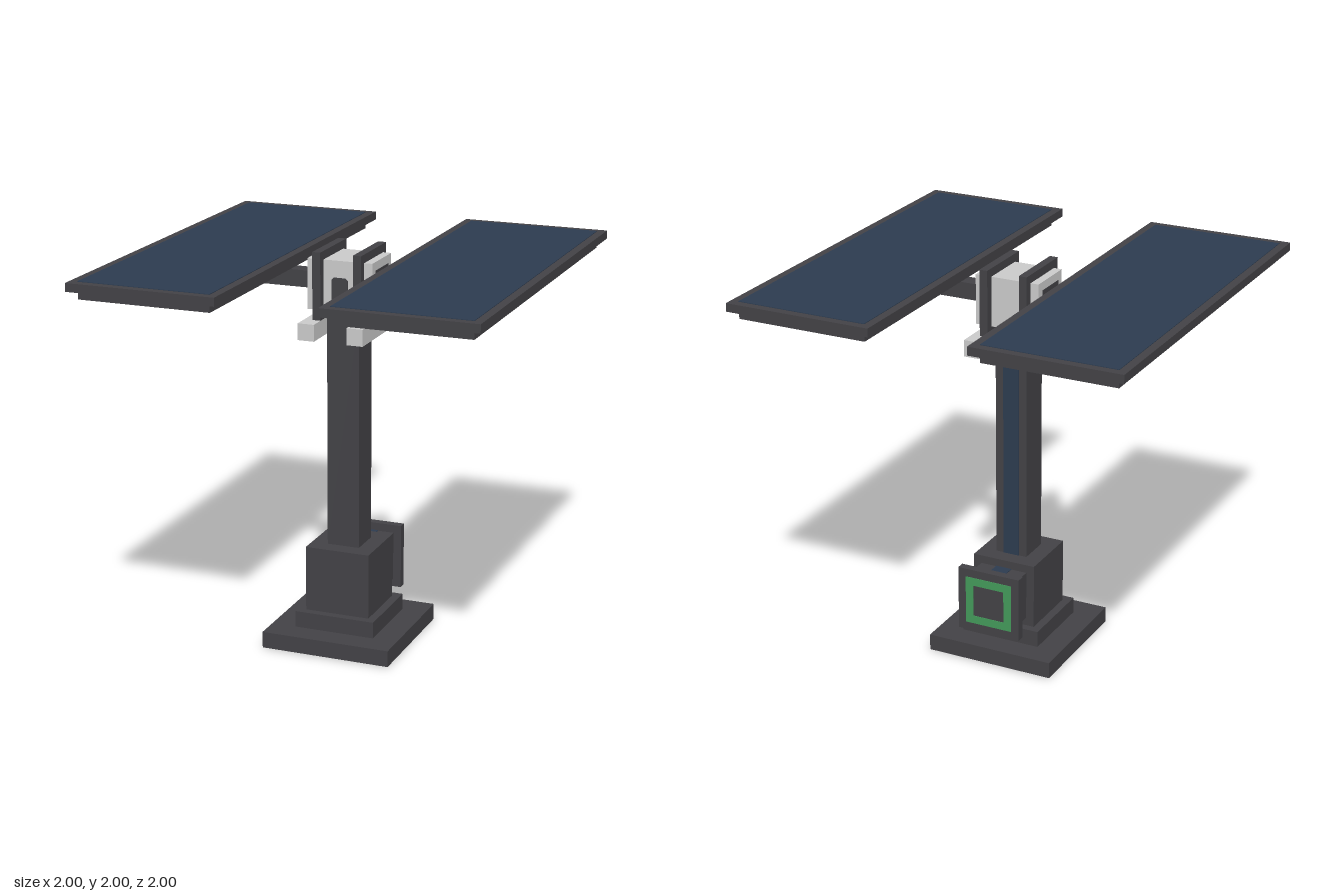
import * as THREE from 'three';

const U = 1 / 24; // modelling grid step
const T = 0.003;  // thickness of painted plates

const mat = (name, color) => {
  const m = new THREE.MeshStandardMaterial({ color });
  m.name = name;
  return m;
};

export function createModel() {
  const dark = mat('dark metal', 0x434246);
  const light = mat('light metal', 0xcbcbcb);
  const blue = mat('solar blue', 0x2d3c50);
  const green = mat('port green', 0x449a5a);

  const root = new THREE.Group();
  root.name = 'solarTracker';

  // Box from min and max corners in grid steps
  const box = (parent, name, m, [x0, y0, z0], [x1, y1, z1]) => {
    const g = new THREE.BoxGeometry((x1 - x0) * U, (y1 - y0) * U, (z1 - z0) * U);
    const mesh = new THREE.Mesh(g, m);
    mesh.name = name;
    mesh.position.set((x0 + x1) / 2 * U, (y0 + y1) / 2 * U, (z0 + z1) / 2 * U);
    parent.add(mesh);
    return mesh;
  };

  // Square outline with cut corners
  const trace = (path, r, c) => {
    const pts = [[r, -r + c], [r, r - c], [r - c, r], [-r + c, r],
      [-r, r - c], [-r, -r + c], [-r + c, -r], [r - c, -r]];
    path.setFromPoints(pts.map(([x, y]) => new THREE.Vector2(x * U, y * U)));
    return path;
  };
  const ring = (name, cut) => {
    const s = trace(new THREE.Shape(), 3, cut);
    s.holes.push(trace(new THREE.Path(), 2, cut));
    const mesh = new THREE.Mesh(
      new THREE.ExtrudeGeometry(s, { depth: T, bevelEnabled: false }), green);
    mesh.name = name;
    root.add(mesh);
    return mesh;
  };
  const t = T / U;

  // Stepped base and column
  box(root, 'basePlate', dark, [-8, 0, -8], [8, 2, 8]);
  box(root, 'baseStep', dark, [-5, 2, -5], [5, 4, 5]);
  box(root, 'baseBlock', dark, [-4, 4, -4], [4, 12, 4]);
  box(root, 'column', dark, [-2, 12, -2], [2, 41, 2]);
  box(root, 'columnStripe', blue, [-1, 12, -2 - t], [1, 41, -2]);

  // Rear connector
  box(root, 'connectorNeck', dark, [-3, 5, -7], [3, 11, -4]);
  box(root, 'connectorStripe', blue, [-1, 11, -7], [1, 11 + t, -4]);
  box(root, 'connectorPlate', dark, [-4, 4, -8], [4, 12, -7]);

  // Green port outlines on the connector and under the base
  const rear = ring('connectorPort', 0.01);
  rear.position.set(0, 8 * U, -8 * U - T);
  const under = ring('basePort', 0.5);
  under.rotation.x = Math.PI / 2;
  under.position.y = T * 0.5;

  // Head core with a dark front slot
  box(root, 'headCore', light, [-2, 41, -3], [2, 47, 3]);
  const slot = new THREE.Shape([[-1, 41], [1, 41], [1, 44.7], [0.7, 45], [-0.7, 45], [-1, 44.7]]
    .map(([x, y]) => new THREE.Vector2(x * U, y * U)));
  const slotMesh = new THREE.Mesh(
    new THREE.ExtrudeGeometry(slot, { depth: T, bevelEnabled: false }), dark);
  slotMesh.name = 'headSlot';
  slotMesh.position.z = 3 * U;
  root.add(slotMesh);

  // Mirrored head plates, arms and panels
  for (const side of [1, -1]) {
    const g = new THREE.Group();
    g.name = side > 0 ? 'leftWing' : 'rightWing';
    root.add(g);
    const part = (name, m, [x0, y0, z0], [x1, y1, z1]) => side > 0
      ? box(g, name, m, [x0, y0, z0], [x1, y1, z1])
      : box(g, name, m, [-x1, y0, z0], [-x0, y1, z1]);

    part('supportBar', light, [2, 38, -6], [4, 40, 6]);
    part('yokePlate', dark, [2, 40, -4], [3, 48, 4]);
    part('bearingPlate', light, [3, 41, -3], [4, 47, 3]);
    part('bearingFace', dark, [4, 42, -2], [4 + t, 46, 2]);
    part('arm', dark, [4, 43, -1], [20, 45, 1]);
    part('panelBacking', dark, [7, 45, -23], [23, 46, 23]);
    part('panelFrame', dark, [6, 46, -24], [24, 47, 24]);
    part('solarCells', blue, [7, 47, -23], [23, 47 + t, 23]);
  }

  // Rest the underside port on the ground
  for (const c of root.children) if (c !== under) c.position.y += T * 0.5;
  return root;
}
